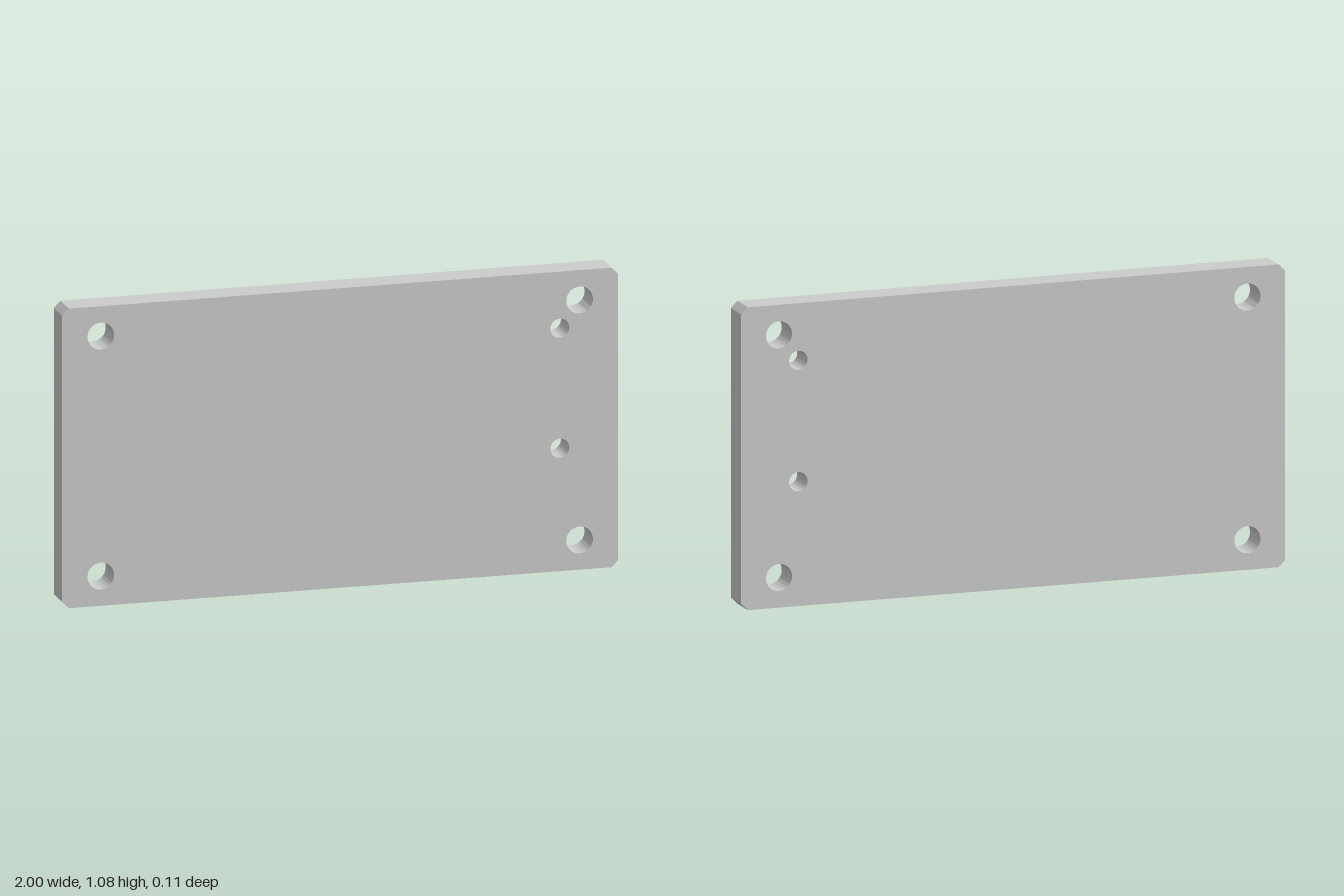
import * as THREE from 'three';
import { toCreasedNormals } from 'three/addons/utils/BufferGeometryUtils.js';

const HALF_W = 1, HEIGHT = 1.076, DEPTH = 0.107, CHAMFER = 0.024;

export function createModel() {
  const group = new THREE.Group();
  group.name = 'mountingPlate';

  // Rectangular outline with chamfered corners
  const c = CHAMFER;
  const outline = new THREE.Shape([
    [-HALF_W + c, 0], [HALF_W - c, 0], [HALF_W, c], [HALF_W, HEIGHT - c],
    [HALF_W - c, HEIGHT], [-HALF_W + c, HEIGHT], [-HALF_W, HEIGHT - c], [-HALF_W, c],
  ].map(([x, y]) => new THREE.Vector2(x, y)));

  const addHole = (x, y, radius) => {
    const hole = new THREE.Path();
    hole.absarc(x, y, radius, 0, Math.PI * 2, true);
    outline.holes.push(hole);
  };

  // Four large corner holes
  for (const sx of [-1, 1]) {
    for (const sy of [-1, 1]) addHole(sx * 0.861, HEIGHT / 2 + sy * 0.431, 0.048);
  }
  // Two small holes near the left edge
  for (const y of [0.442, 0.873]) addHole(0.79, y, 0.034);

  // Plate body, with smooth hole walls and sharp edges
  const geometry = new THREE.ExtrudeGeometry(outline, {
    depth: DEPTH, bevelEnabled: false, curveSegments: 24,
  });
  geometry.translate(0, 0, -DEPTH / 2);

  const plate = new THREE.Mesh(
    toCreasedNormals(geometry, 0.5),
    new THREE.MeshStandardMaterial({ color: 0xcccccc }),
  );
  plate.name = 'plate';
  group.add(plate);
  return group;
}
